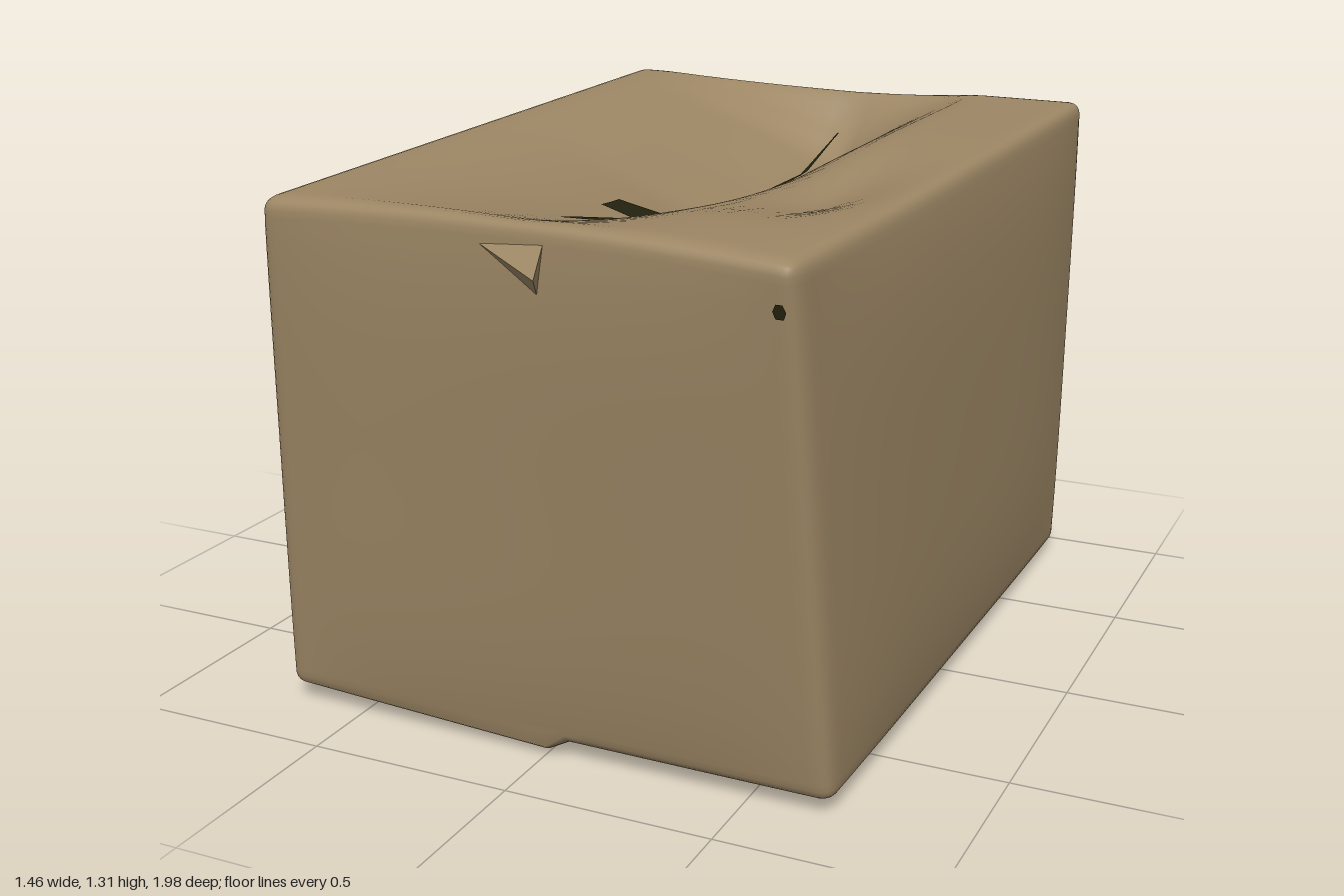
import * as THREE from 'three';
import { mergeVertices } from 'three/addons/utils/BufferGeometryUtils.js';
import { ConvexGeometry } from 'three/addons/geometries/ConvexGeometry.js';

const { lerp, clamp } = THREE.MathUtils;

// Corners of the sagging box, ordered by x, then y, then z (minus first)
const CORNERS = [
  [-0.72, 0.045, -0.99], [-0.70, 0.04, 0.82],
  [-0.63, 1.31, -0.98], [-0.66, 1.25, 0.88],
  [0.71, 0.015, -0.96], [0.70, 0.03, 0.82],
  [0.73, 1.30, -0.94], [0.66, 1.25, 0.98],
];

// Depth of the caved-in lid seam from back (-1) to front (1)
const SEAM = [[-1, 0], [-0.93, 0.1], [-0.8, 0.2], [-0.4, 0.23], [0, 0.23], [0.5, 0.12], [1, 0]];

function seamDepth(c) {
  for (let i = 1; i < SEAM.length; i++) {
    const [c0, d0] = SEAM[i - 1], [c1, d1] = SEAM[i];
    if (c <= c1) return lerp(d0, d1, clamp((c - c0) / (c1 - c0), 0, 1));
  }
  return 0;
}

// Maps a point of the cube (-1..1) onto the battered box
function batter(a, b, c) {
  const p = new THREE.Vector3();
  CORNERS.forEach((corner, i) => {
    const w = (i & 4 ? 1 + a : 1 - a) * (i & 2 ? 1 + b : 1 - b) * (i & 1 ? 1 + c : 1 - c) / 8;
    p.addScaledVector(new THREE.Vector3(...corner), w);
  });
  // bulging sides and front
  p.x += a * 0.03 * (1 - c ** 4) * (1 - b ** 4);
  if (c > 0) p.z += c * 0.025 * (1 - a ** 4) * (1 - b ** 4);
  // dent low on the back
  if (c < 0) p.z += -c * 0.13 * Math.max(0, 1 - Math.abs(a) / 0.8) * Math.max(0, 1 - (b + 1) / 1.1);
  if (b > 0.9) {
    // two lid flaps sinking toward the seam, the right one more steeply
    const w = Math.max(0, 1 - Math.abs(a) / (a > 0 ? 0.55 : 0.88));
    p.x += 0.02 * (1 - a * a);
    p.y += 0.025 * (1 - a * a) * (c + 1) / 2 - seamDepth(c) * w ** 1.25;
    // hollow in the right flap
    p.y -= 0.06 * Math.exp(-(((a - 0.6) / 0.22) ** 2) - ((c - 0.3) / 0.3) ** 2);
  }
  // left bottom flap hangs a little lower than the right one
  if (b < -0.97 && a < 0.001) p.y -= 0.03 * (1 + a);
  return p;
}

// Smooth shell with small rounded edges
function shellGeometry() {
  const geometry = new THREE.BoxGeometry(2, 2, 2, 40, 40, 40);
  const position = geometry.attributes.position;
  const radius = 0.05, inner = 1 - radius;
  const p = new THREE.Vector3(), core = new THREE.Vector3();
  for (let i = 0; i < position.count; i++) {
    p.fromBufferAttribute(position, i);
    // gather grid lines near the edges
    p.set(...p.toArray().map((t) => Math.sin(t * Math.PI / 2)));
    core.copy(p).clampScalar(-inner, inner);
    p.sub(core).setLength(radius).add(core);
    position.setXYZ(i, ...batter(p.x, p.y, p.z).toArray());
  }
  geometry.deleteAttribute('uv');
  geometry.deleteAttribute('normal');
  geometry.clearGroups();
  const merged = mergeVertices(geometry, 1e-5);
  merged.computeVertexNormals();
  return merged;
}

// Thin strip from rows of left and right points
function stripGeometry(rows) {
  const geometry = new THREE.BufferGeometry();
  const index = [];
  for (let i = 0; i < rows.length - 1; i++) {
    const k = i * 2;
    index.push(k, k + 2, k + 1, k + 1, k + 2, k + 3);
  }
  geometry.setFromPoints(rows.flat());
  geometry.setIndex(index);
  geometry.computeVertexNormals();
  return geometry;
}

export function createModel() {
  const cardboard = new THREE.MeshStandardMaterial({ color: 0x9c8664 });
  cardboard.name = 'cardboard';
  const shadowed = new THREE.MeshStandardMaterial({ color: 0x24220f, side: THREE.DoubleSide });
  shadowed.name = 'dark interior';

  const group = new THREE.Group();
  group.name = 'cardboardBox';
  const add = (name, geometry, material) => {
    const mesh = new THREE.Mesh(geometry, material);
    mesh.name = name;
    group.add(mesh);
    return mesh;
  };

  add('boxShell', shellGeometry(), cardboard);

  // Open slit between the lid flaps: z, left x, right x
  const slit = [
    [-0.85, 0.05, 0.055], [-0.6, 0.035, 0.06], [-0.2, 0.01, 0.055], [0.05, 0, 0.055],
    [0.15, -0.03, 0.05], [0.2, -0.11, 0.05], [0.26, -0.1, 0.045], [0.33, -0.09, 0.04],
    [0.34, 0, 0.04], [0.6, 0, 0.025], [0.72, 0.015, 0.02],
  ];
  const onLid = (x, z) => {
    const p = batter((x - 0.035) / 0.7, 1, (z + 0.02) / 0.95);
    return new THREE.Vector3(x, p.y + 0.009, z);
  };
  add('lidSlit', stripGeometry(slit.map(([z, l, r]) => [onLid(l, z), onLid(r, z)])), shadowed);

  // Small punctures, one by the front corner and one on the left side
  const puncture = (name, at, offset) => {
    const rows = [[-1, 0.6], [0, 1], [1, 0.5]].map(([t, w]) =>
      [-w, w].map((s) => at(s, t).add(new THREE.Vector3(...offset))));
    add(name, stripGeometry(rows), shadowed);
  };
  puncture('frontPuncture', (s, t) => batter(0.945 + s * 0.022, 0.84 + t * 0.025, 1), [0, 0, 0.004]);
  puncture('sidePuncture', (s, t) => batter(-1, -0.5 + s * 0.025, -0.62 + t * 0.035), [-0.004, 0, 0]);

  // Torn fold standing out below the front edge
  const tear = [[-0.07, 1.215, 0.925], [0.1, 1.165, 0.995], [0.07, 1.11, 0.925], [0.09, 1.24, 0.925]];
  add('frontFold', new ConvexGeometry(tear.map((p) => new THREE.Vector3(...p))), cardboard);

  // Stand on the ground
  group.children.forEach((mesh) => mesh.geometry.computeBoundingBox());
  const lowest = group.children[0].geometry.boundingBox.min.y;
  group.children.forEach((mesh) => mesh.geometry.translate(0, -lowest, 0));
  return group;
}
